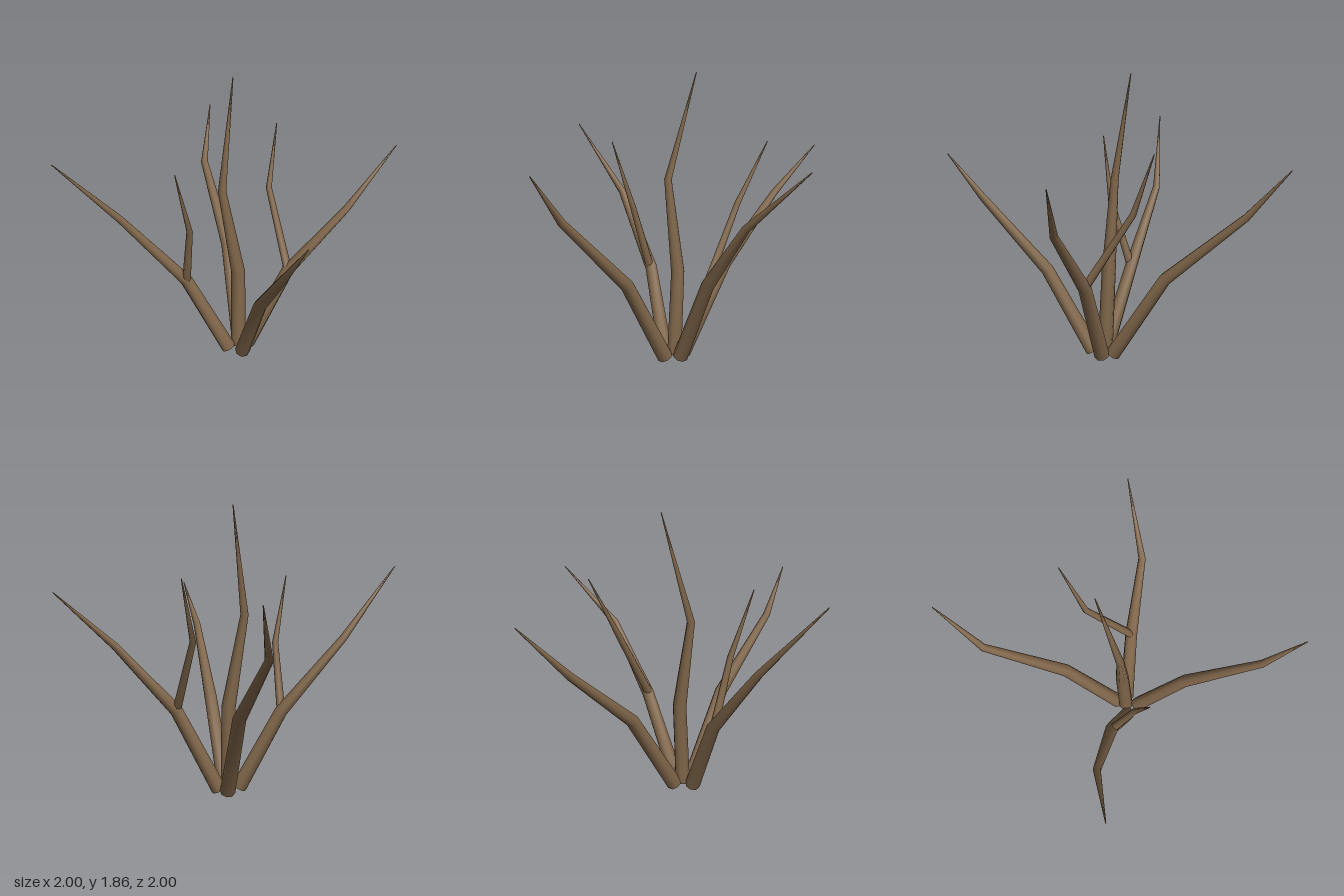
import * as THREE from 'three';

const SIDES = 8;

// Tapered limb: rings swept along [x, y, z, radius] points, mitred at each bend
function limbGeometry(points) {
  const centres = points.map(([x, y, z]) => new THREE.Vector3(x, y, z));
  const last = centres.length - 1;
  const directions = centres.slice(1).map((c, i) => c.clone().sub(centres[i]).normalize());
  const positions = [];
  const index = [];
  const side = new THREE.Vector3(1, 0, 0);

  centres.forEach((centre, i) => {
    const before = directions[Math.max(i - 1, 0)];
    const after = directions[Math.min(i, last - 1)];
    const tangent = before.clone().add(after).normalize();
    side.addScaledVector(tangent, -side.dot(tangent)).normalize();
    const up = new THREE.Vector3().crossVectors(tangent, side);
    for (let j = 0; j < SIDES; j++) {
      const a = (j / SIDES) * Math.PI * 2;
      const p = centre.clone()
        .addScaledVector(side, Math.cos(a) * points[i][3])
        .addScaledVector(up, Math.sin(a) * points[i][3]);
      positions.push(p.x, p.y, p.z);
    }
  });

  for (let i = 0; i < last; i++) {
    for (let j = 0; j < SIDES; j++) {
      const a = i * SIDES + j;
      const b = i * SIDES + (j + 1) % SIDES;
      index.push(a, b, b + SIDES, a, b + SIDES, a + SIDES);
    }
  }

  // Flat end caps with their own vertices, so the cut edge stays sharp
  for (const ring of [0, last]) {
    const start = positions.length / 3;
    positions.push(...positions.slice(ring * SIDES * 3, (ring + 1) * SIDES * 3));
    for (let j = 1; j < SIDES - 1; j++) {
      if (ring === 0) index.push(start, start + j + 1, start + j);
      else index.push(start, start + j, start + j + 1);
    }
  }

  const geometry = new THREE.BufferGeometry();
  geometry.setAttribute('position', new THREE.Float32BufferAttribute(positions, 3));
  geometry.setIndex(index);
  geometry.computeVertexNormals();
  return geometry;
}

const LIMBS = {
  // Main stems fanning out from the root
  centreStem: [[-0.01, 0.03, 0, 0.05], [0.005, 0.58, -0.02, 0.046], [-0.085, 1.17, -0.07, 0.026], [0.08, 1.855, -0.145, 0.003]],
  leftStem: [[0.045, 0.025, 0.03, 0.05], [0.285, 0.56, 0.165, 0.042], [0.6, 0.98, 0.375, 0.025], [0.995, 1.335, 0.44, 0.003]],
  backLeftStem: [[0.035, 0.025, -0.045, 0.05], [0.21, 0.58, -0.35, 0.042], [0.405, 1.01, -0.805, 0.025], [0.635, 1.335, -0.997, 0.003]],
  backRightStem: [[-0.085, 0.025, -0.02, 0.05], [-0.275, 0.54, -0.215, 0.042], [-0.605, 1.01, -0.445, 0.025], [-0.997, 1.465, -0.54, 0.003]],
  frontRightStem: [[-0.045, 0.025, 0.075, 0.05], [-0.17, 0.56, 0.365, 0.042], [-0.385, 1.01, 0.77, 0.025], [-0.445, 1.305, 0.997, 0.003]],
  // Side twigs starting at a stem's first bend
  leftTwig: [[0.28, 0.56, 0.17, 0.028], [0.375, 1.04, -0.115, 0.02], [0.535, 1.43, -0.21, 0.003]],
  backRightTwig: [[-0.28, 0.54, -0.21, 0.028], [-0.345, 0.97, -0.085, 0.02], [-0.475, 1.4, -0.05, 0.003]],
};

export function createModel() {
  const group = new THREE.Group();
  group.name = 'bareShrub';
  const bark = new THREE.MeshStandardMaterial({ color: 0x80664a });
  for (const [name, points] of Object.entries(LIMBS)) {
    const limb = new THREE.Mesh(limbGeometry(points), bark);
    limb.name = name;
    group.add(limb);
  }
  return group;
}
